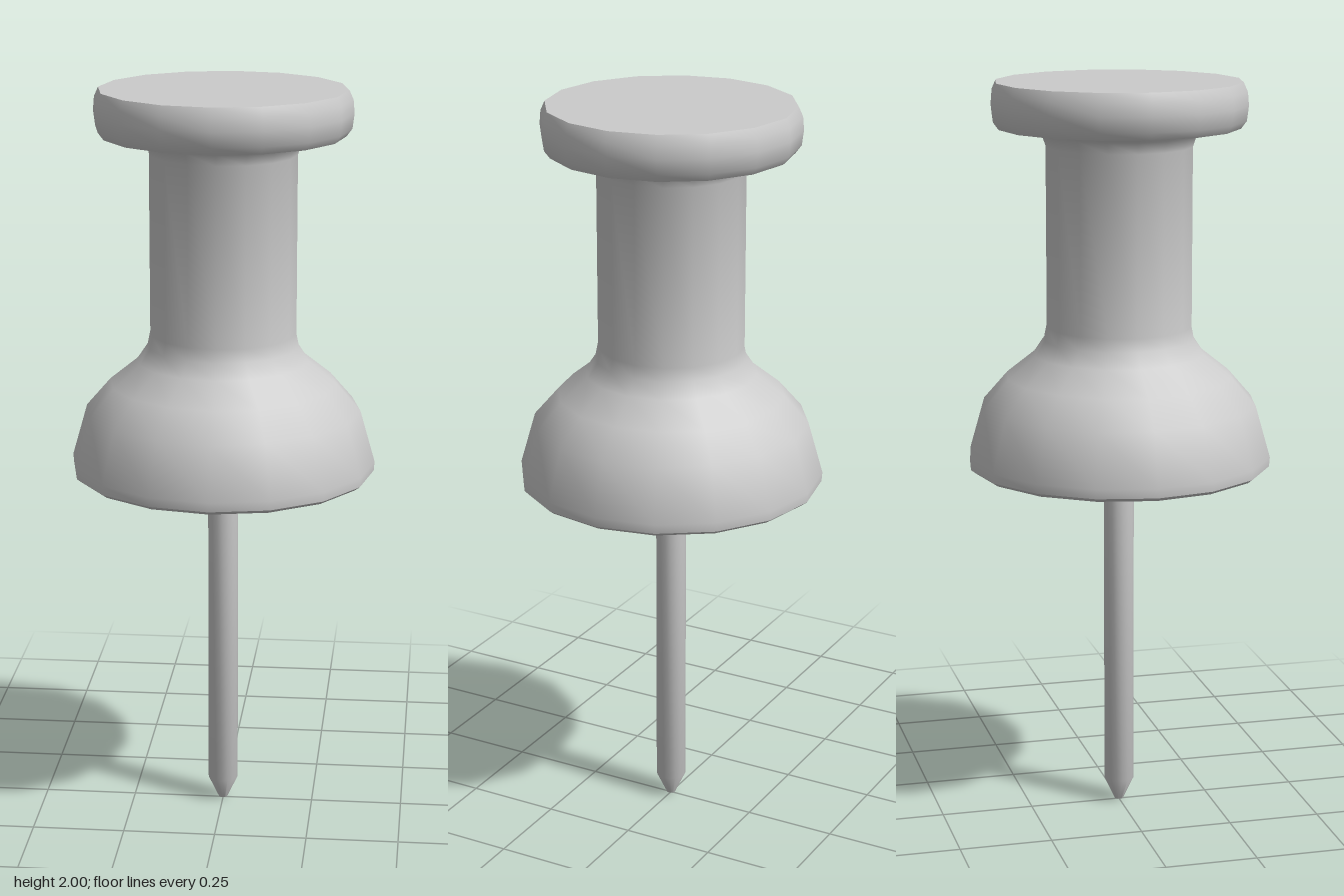
import * as THREE from 'three';
import { toCreasedNormals } from 'three/addons/utils/BufferGeometryUtils.js';

const SIDES = 16;
const material = new THREE.MeshStandardMaterial({ color: 0xcccccc });

// Revolves a bottom-to-top [radius, height] profile, keeping sharp rims
function turned(name, profile) {
  const points = profile.map(([r, y]) => new THREE.Vector2(r, y));
  const geometry = toCreasedNormals(new THREE.LatheGeometry(points, SIDES), 0.75);
  const mesh = new THREE.Mesh(geometry, material);
  mesh.name = name;
  return mesh;
}

export function createModel() {
  const pin = new THREE.Group();
  pin.name = 'pushPin';

  // Handle: domed base, straight grip and flat rounded head
  pin.add(turned('handle', [
    [0, 0.965], [0.395, 0.965], [0.408, 0.975], [0.41, 1.0],
    [0.37, 1.14], [0.305, 1.215], [0.23, 1.275], [0.203, 1.315], [0.196, 1.35],
    [0.196, 1.83], [0.206, 1.86], [0.235, 1.88],
    [0.322, 1.88], [0.337, 1.9], [0.342, 1.94], [0.339, 1.975], [0.328, 2], [0, 2],
  ]));

  // Needle with a short blunt point, its top sunk into the base
  pin.add(turned('needle', [
    [0, 0], [0.012, 0.003], [0.041, 0.065], [0.041, 1.0], [0, 1.0],
  ]));

  return pin;
}
